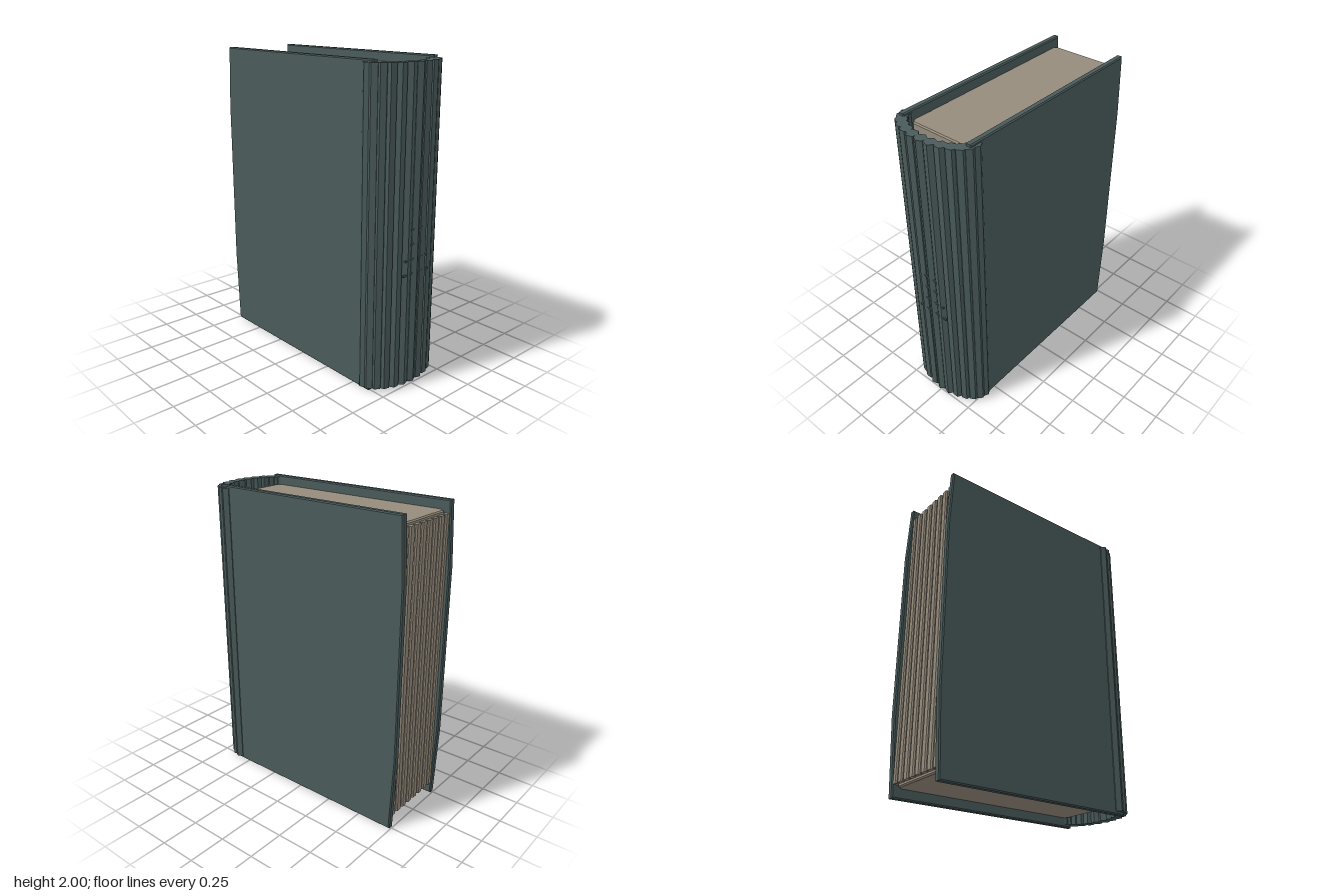
import * as THREE from 'three';

const coverMat = new THREE.MeshStandardMaterial({ color: 0x4a5a5a });
coverMat.name = 'slate teal cover';
const paperMat = new THREE.MeshStandardMaterial({ color: 0x968c7d });
paperMat.name = 'aged paper';

// Extrudes a polygon to an exact overall thickness with a small chamfer inside its outline
function plate(points, thickness, bevel) {
  const shape = new THREE.Shape(points.map(([x, y]) => new THREE.Vector2(x, y)));
  const geo = new THREE.ExtrudeGeometry(shape, {
    depth: thickness - 2 * bevel, bevelEnabled: bevel > 0, bevelThickness: bevel,
    bevelSize: bevel, bevelOffset: -bevel, bevelSegments: 1,
  });
  return geo.translate(0, 0, bevel - thickness / 2);
}

export function createModel() {
  const book = new THREE.Group();
  book.name = 'book';
  const add = (name, geo, mat, parent = book) => {
    const mesh = new THREE.Mesh(geo, mat);
    mesh.name = name;
    parent.add(mesh);
    return mesh;
  };

  // Two boards, with a gently bowed rear edge
  const outline = [
    [-0.742, 0], [0.635, 0], [0.635, 2], [-0.745, 2], [-0.765, 1.6], [-0.765, 0.5],
  ];
  for (const [side, name] of [[1, 'leftCover'], [-1, 'rightCover']]) {
    const board = plate(outline, 0.042, 0.007).rotateY(-Math.PI / 2);
    add(name, board, coverMat).position.x = side * 0.248;
  }

  // Page block with clipped corners
  const w = 0.23, c = 0.024, front = -0.59, back = 0.715;
  const block = plate([
    [-w + c, front], [w - c, front], [w, front + c], [w, back - c],
    [w - c, back], [-w + c, back], [-w, back - c], [-w, front + c],
  ], 1.88, 0.008).rotateX(-Math.PI / 2);
  add('pageBlock', block, paperMat).position.y = 1;

  // Bundles of page edges standing out of the block's rear
  const edges = new THREE.Group();
  edges.name = 'pageEdges';
  book.add(edges);
  for (let i = 0; i < 8; i++) {
    const strip = plate([
      [-0.0245, 0.70], [0.0245, 0.70], [0.0245, 0.732],
      [0.017, 0.74], [-0.017, 0.74], [-0.0245, 0.732],
    ], 1.84, 0).rotateX(-Math.PI / 2);
    add('pageEdge', strip, paperMat, edges).position.set((i - 3.5) * 0.0627, 1, 0);
  }

  // Rounded spine made of six-sided ribs set along a half ellipse
  const spine = new THREE.Group();
  spine.name = 'spine';
  book.add(spine);
  for (let i = 0; i <= 12; i++) {
    const a = (i / 12) * Math.PI;
    const geo = new THREE.CylinderGeometry(0.038, 0.038, 1.965, 6).toNonIndexed();
    geo.computeVertexNormals();
    const rib = add('spineRib', geo, coverMat, spine);
    rib.position.set(0.255 * Math.cos(a), 1.0025, 0.59 + 0.137 * Math.sin(a));
    rib.rotation.y = Math.PI / 2 - a;
  }

  // Thin bars across the spine, showing only in the grooves
  for (const [y, width] of [[1.02, 0.1], [0.93, 0.1], [0.835, 0.19], [0.745, 0.22]]) {
    const bar = add('spineBar', new THREE.BoxGeometry(width, 0.01, 0.009), coverMat, spine);
    bar.position.set(0, y, 0.751);
  }
  return book;
}
